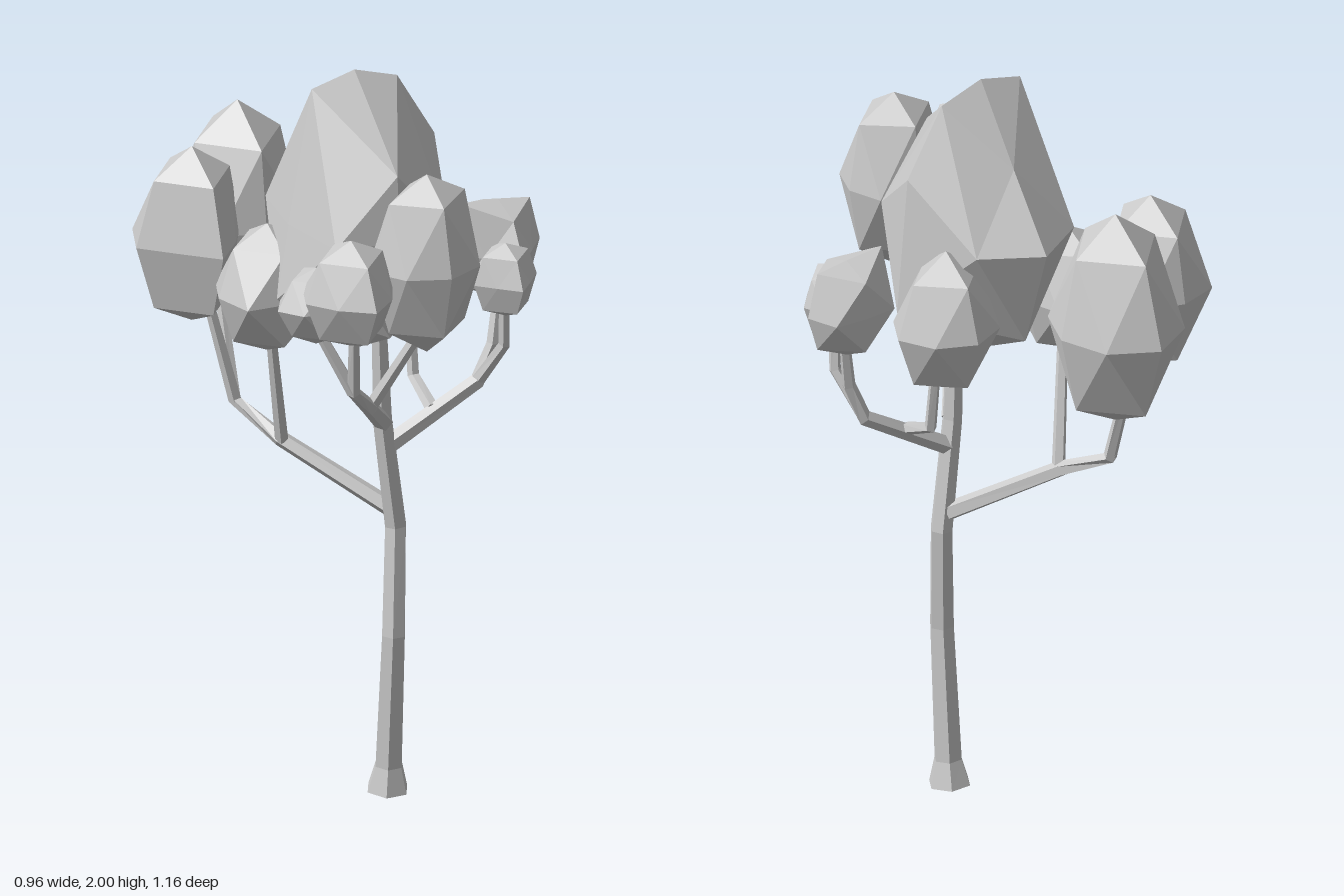
import * as THREE from 'three';

const mat = new THREE.MeshStandardMaterial({ color: 0xcccccc, flatShading: true });

// Faceted leaf clump: subdivided octahedron with its own reach along each half axis
// c = centre, lo / hi = reach towards the negative / positive side of x, y, z
// pinch = scale of the two front side corners
// dents = shifts of single corners, keyed by the signs of their direction
function clump(name, c, lo, hi, pinch = 1, dents = {}) {
  const geo = new THREE.OctahedronGeometry(1, 1);
  const pos = geo.attributes.position;
  for (let i = 0; i < pos.count; i++) {
    const v = [pos.getX(i), pos.getY(i), pos.getZ(i)];
    const key = v.map((n) => (n > 0.1 ? '+' : n < -0.1 ? '-' : '0')).join('');
    const isTip = key.split('0').length === 3;
    const scale = key === '+0+' || key === '-0+' ? pinch : 1.03;
    const shift = dents[key] ?? [0, 0, 0];
    const p = v.map((n, a) => {
      const reach = isTip ? (n < 0 ? lo[a] : hi[a]) : scale * (lo[a] + hi[a]) / 2;
      return c[a] + n * reach + shift[a];
    });
    pos.setXYZ(i, ...p);
  }
  geo.computeVertexNormals();
  const mesh = new THREE.Mesh(geo, mat);
  mesh.name = name;
  return mesh;
}

// Angular limb: polygon rings along a bent path, closed at both ends
function limb(name, path, radii, sides) {
  const pts = path.map((p) => new THREE.Vector3(...p));
  const last = pts.length - 1;
  const verts = [];
  const index = [];
  pts.forEach((p, i) => {
    const t = pts[Math.min(i + 1, last)].clone().sub(pts[Math.max(i - 1, 0)]).normalize();
    const u = new THREE.Vector3(0, 0, 1).addScaledVector(t, -t.z).normalize();
    const w = new THREE.Vector3().crossVectors(t, u);
    for (let s = 0; s < sides; s++) {
      const a = ((s + 0.5) / sides) * Math.PI * 2;
      const q = p.clone()
        .addScaledVector(u, Math.cos(a) * radii[i])
        .addScaledVector(w, Math.sin(a) * radii[i]);
      verts.push(q.x, q.y, q.z);
    }
  });
  for (let i = 0; i < last; i++) {
    for (let s = 0; s < sides; s++) {
      const a = i * sides + s;
      const b = i * sides + ((s + 1) % sides);
      index.push(a, b, b + sides, a, b + sides, a + sides);
    }
  }
  for (let s = 1; s < sides - 1; s++) {
    const e = last * sides;
    index.push(0, s + 1, s, e, e + s, e + s + 1);
  }
  const geo = new THREE.BufferGeometry();
  geo.setAttribute('position', new THREE.Float32BufferAttribute(verts, 3));
  geo.setIndex(index);
  const flat = geo.toNonIndexed();
  flat.computeVertexNormals();
  const mesh = new THREE.Mesh(flat, mat);
  mesh.name = name;
  return mesh;
}

export function createModel() {
  const tree = new THREE.Group();
  tree.name = 'tree';

  // Trunk with a flared foot
  tree.add(limb('trunk',
    [[0.057, 0, 0.08], [0.058, 0.07, 0.085], [0.057, 0.44, 0.113], [0.075, 0.73, 0.09],
      [0.03, 1.03, 0.105], [0.015, 1.35, 0.11]],
    [0.057, 0.038, 0.033, 0.03, 0.027, 0.021], 6));

  // Branches and twigs
  const branches = [
    ['backBranch', [[0.06, 0.78, 0.08], [-0.14, 0.93, -0.13], [-0.2, 1.0, -0.26], [-0.2, 1.26, -0.34]]],
    ['backLowTwig', [[-0.14, 0.93, -0.12], [-0.22, 1.28, -0.03]]],
    ['backSideTwig', [[-0.2, 1.0, -0.26], [-0.28, 1.33, -0.28]]],
    ['frontBranch', [[0.03, 1.03, 0.11], [-0.1, 1.16, 0.28], [-0.2, 1.26, 0.38], [-0.23, 1.46, 0.44]]],
    ['frontMiddleTwig', [[-0.1, 1.16, 0.28], [-0.01, 1.4, 0.39]]],
    ['frontSideTwig', [[-0.2, 1.26, 0.38], [-0.29, 1.45, 0.34]]],
    ['sideBranch', [[0.05, 0.96, 0.1], [0.29, 1.1, 0.13], [0.33, 1.2, 0.14], [0.36, 1.36, 0.12]]],
    ['sideMiddleTwig', [[0.17, 1.04, 0.11], [0.175, 1.09, 0], [0.18, 1.28, -0.03]]],
    ['sideFrontTwig', [[0.29, 1.1, 0.13], [0.33, 1.22, 0.2], [0.32, 1.36, 0.22]]],
  ];
  for (const [name, path] of branches) {
    const thick = name.endsWith('Branch') ? 0.025 : 0.018;
    const radii = path.map((_, i) => thick - (thick - 0.014) * (i / (path.length - 1)));
    tree.add(limb(name, path, radii, 5));
  }

  // Foliage
  const foliage = new THREE.Group();
  foliage.name = 'foliage';
  const clumps = [
    ['frontClump', [0, 1.59, 0.4], [0.16, 0.25, 0.12], [0.14, 0.24, 0.135]],
    ['backClump', [-0.13, 1.46, -0.38], [0.17, 0.28, 0.2], [0.17, 0.31, 0.16]],
    ['backSideClump', [-0.32, 1.47, -0.27], [0.16, 0.23, 0.15], [0.14, 0.25, 0.17], 0.76],
    ['innerLeftClump', [-0.22, 1.39, -0.05], [0.14, 0.17, 0.14], [0.13, 0.18, 0.12], 1.2],
    ['innerRightClump', [0.17, 1.41, -0.06], [0.13, 0.18, 0.14], [0.15, 0.21, 0.12]],
    ['frontSmallUpper', [-0.24, 1.56, 0.44], [0.13, 0.14, 0.11], [0.12, 0.15, 0.14], 0.88],
    ['frontSmallLower', [-0.29, 1.51, 0.345], [0.11, 0.11, 0.095], [0.08, 0.1, 0.08]],
    ['sideUpperClump', [0.36, 1.45, 0.11], [0.13, 0.14, 0.09], [0.12, 0.13, 0.14], 0.75,
      { '-+0': [-0.02, 0.04, 0], '++0': [0, 0.02, 0] }],
    ['sideLowerClump', [0.32, 1.41, 0.225], [0.09, 0.1, 0.08], [0.09, 0.1, 0.095], 0.75],
  ];
  for (const args of clumps) foliage.add(clump(...args));

  // Large crown, skewed towards its upper left and lower right
  foliage.add(clump('crown', [-0.03, 1.61, 0.065], [0.19, 0.38, 0.285], [0.23, 0.39, 0.245], 1.1, {
    '+00': [0, 0.17, 0], '++0': [-0.03, 0.07, 0], '-+0': [0.03, 0.08, 0],
    '+-0': [0.11, 0.08, 0], '--0': [-0.07, 0.08, 0],
    '0+-': [0, -0.09, 0.05], '0++': [0, -0.1, 0.04],
  }));
  tree.add(foliage);

  return tree;
}
